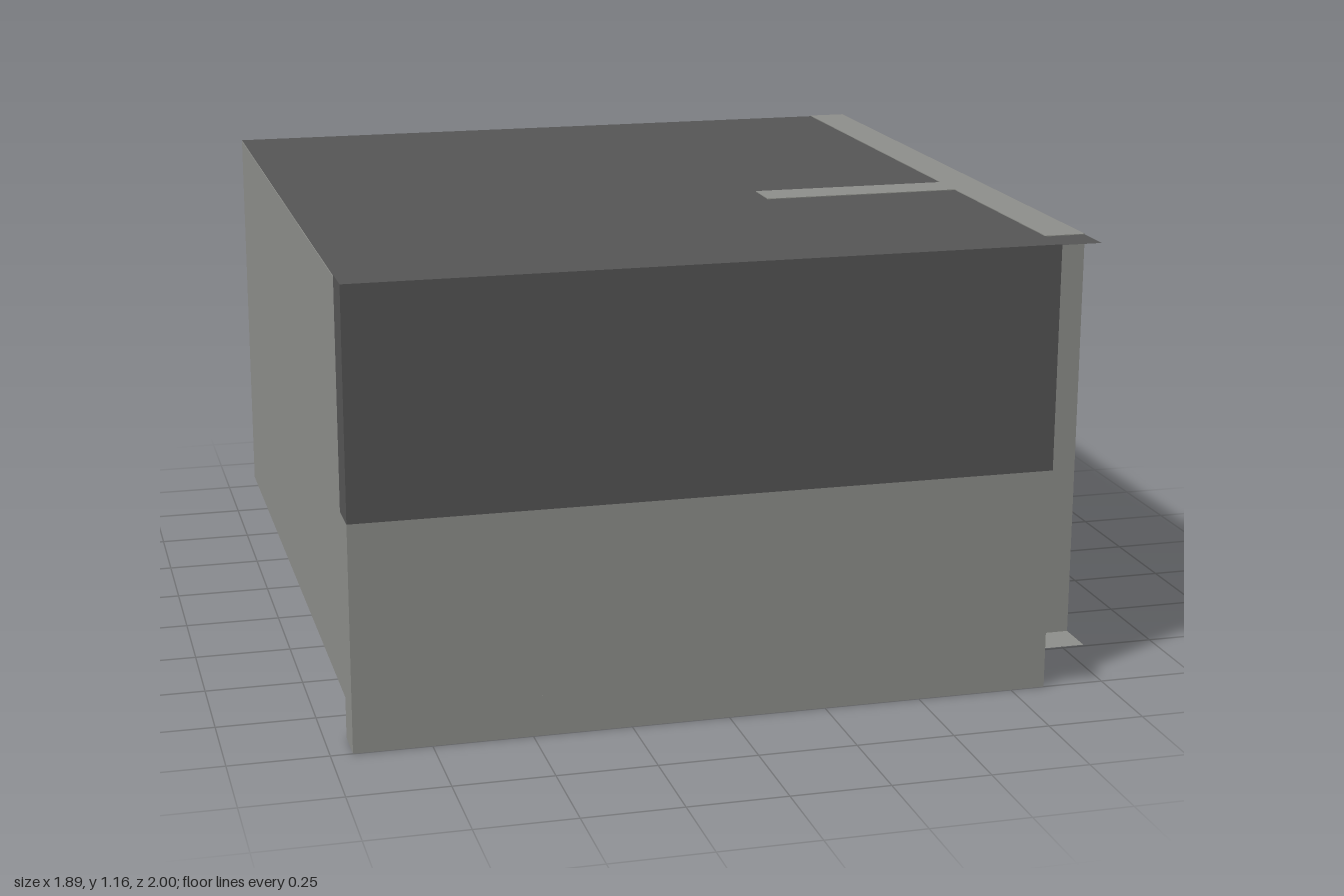
import * as THREE from 'three';

export function createModel() {
  const group = new THREE.Group();
  const concrete = new THREE.MeshStandardMaterial({ color: 0x8f908c, side: THREE.DoubleSide });
  concrete.name = 'light concrete';
  const dark = new THREE.MeshStandardMaterial({ color: 0x565656, side: THREE.DoubleSide });
  dark.name = 'dark roofing';

  const X = 0.945, XI = 0.84, Z = 1, ZI = 0.895; // outer and inner wall faces
  const FLOOR = 0.105, ROOF = 1.158, TOP = 1.16, UNDER = 1.155, BAND = 0.58;

  const add = (name, geometry, material) => {
    const mesh = new THREE.Mesh(geometry, material);
    mesh.name = name;
    group.add(mesh);
    return mesh;
  };
  // Box given by its limits on each axis
  const block = (name, [x0, x1], [y0, y1], [z0, z1], material = concrete) =>
    add(name, new THREE.BoxGeometry(x1 - x0, y1 - y0, z1 - z0), material)
      .position.set((x0 + x1) / 2, (y0 + y1) / 2, (z0 + z1) / 2);
  // Thin horizontal sheet covering the whole plan
  const sheet = (name, y, material) =>
    add(name, new THREE.PlaneGeometry(2 * X, 2 * Z).rotateX(-Math.PI / 2), material).position.y = y;

  sheet('floor', FLOOR, concrete);
  sheet('roof', ROOF, dark);

  // Front wall reaches the ground, dark in its upper half
  block('frontWallLower', [-X, XI], [0, BAND], [ZI, Z]);
  block('frontWallUpper', [-X, XI], [BAND, TOP], [ZI, Z], dark);

  // Side walls; the left one shows its top beside the roofing
  block('leftWall', [XI, X], [FLOOR, TOP], [-Z, ZI]);
  block('rightWall', [-X, -XI], [FLOOR, UNDER], [-ZI, ZI]);

  // Back wall with a low doorway at the model's left
  const outline = [[-X, FLOOR], [0.415, FLOOR], [0.415, 0.457], [XI, 0.457], [XI, UNDER], [-X, UNDER]];
  const backShape = new THREE.Shape(outline.map(([x, y]) => new THREE.Vector2(x, y)));
  add('backWall', new THREE.ExtrudeGeometry(backShape, { depth: Z - ZI, bevelEnabled: false }), concrete)
    .position.z = -Z;

  // Inner partitions: passage behind the doorway and a cross wall with a gap
  const cross = [0.155, 0.265];
  block('passageEndWall', [0.31, XI], [FLOOR, TOP], cross);
  block('passageSideWall', [0.31, 0.415], [FLOOR, UNDER], [-ZI, cross[0]]);
  block('crossWallLeft', [-0.095, 0.31], [FLOOR, UNDER], cross);
  block('crossWallRight', [-XI, -0.405], [FLOOR, UNDER], cross);

  return group;
}
